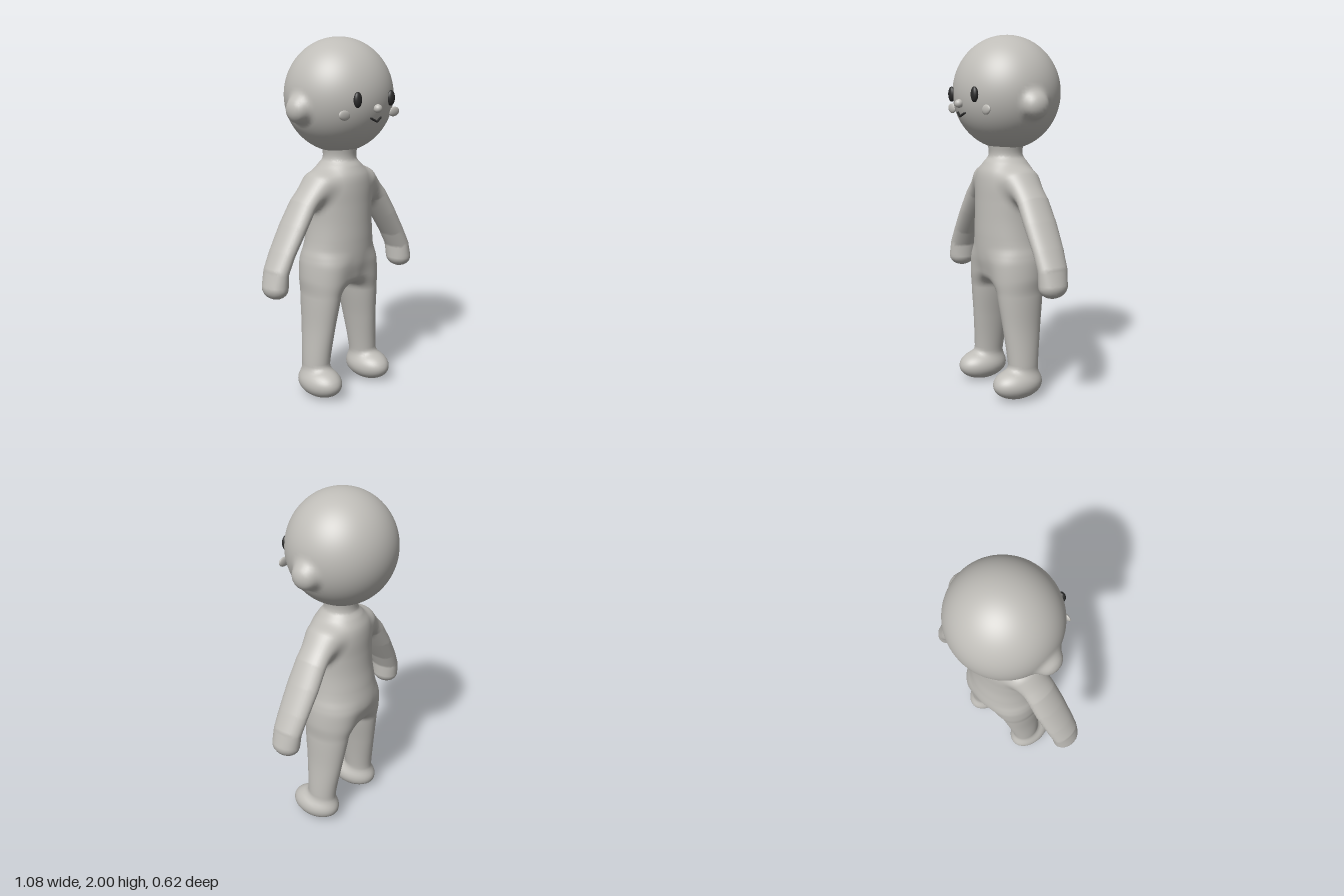
import * as THREE from 'three';

const skin = new THREE.MeshStandardMaterial({ color: 0xbfbdb8 });
skin.name = 'skin grey';
const dark = new THREE.MeshStandardMaterial({ color: 0x2b2b2b });
dark.name = 'feature black';

// Soft union and soft cut of two distances
const blend = (a, b, k) => {
  const h = Math.max(k - Math.abs(a - b), 0);
  return Math.min(a, b) - (h * h) / (4 * k);
};
const cut = (a, b, k) => -blend(-a, -b, k);

const ellipsoid = (x, y, z, c, r) =>
  (Math.hypot((x - c[0]) / r[0], (y - c[1]) / r[1], (z - c[2]) / r[2]) - 1) * Math.min(...r);

// Smooth interpolation of rows [y, ...values] at height y
function sample(rows, y) {
  const last = rows.length - 1;
  const t = Math.min(Math.max(y, rows[0][0]), rows[last][0]);
  let i = 0;
  while (i < last - 1 && t > rows[i + 1][0]) i++;
  const a = rows[i], b = rows[i + 1], d = b[0] - a[0], s = (t - a[0]) / d;
  const slope = (n, k) => {
    const p = rows[Math.max(n - 1, 0)], q = rows[Math.min(n + 1, last)];
    return ((q[k] - p[k]) / (q[0] - p[0])) * d;
  };
  return a.slice(1).map((v, j) => {
    const k = j + 1, e = b[k] - v, m = slope(i, k), n = slope(i + 1, k);
    return v + s * m + s * s * (3 * e - 2 * m - n) + s * s * s * (m + n - 2 * e);
  });
}

// Column of oval cross-sections [y, centre x, half width, front z, back z]
function column(rows, x, y, z) {
  const [cx, rx, zf, zb] = sample(rows, y);
  const rz = (zf - zb) / 2;
  return (Math.hypot((x - cx) / rx, (z - (zf + zb) / 2) / rz) - 1) * Math.min(rx, rz);
}

const TORSO = [
  [0.6, 0, 0.205, 0.12, -0.155], [0.7, 0, 0.222, 0.138, -0.185], [0.78, 0, 0.225, 0.153, -0.207],
  [0.9, 0, 0.205, 0.157, -0.192], [1.0, 0, 0.195, 0.155, -0.177], [1.1, 0, 0.196, 0.152, -0.17],
  [1.2, 0, 0.2, 0.148, -0.167], [1.26, 0, 0.178, 0.138, -0.157], [1.31, 0, 0.125, 0.112, -0.132],
  [1.35, 0, 0.092, 0.085, -0.107], [1.43, 0, 0.1, 0.095, -0.115],
];
const LEG = [
  [0.1, 0.187, 0.07, 0.08, -0.095], [0.2, 0.183, 0.073, 0.08, -0.1], [0.4, 0.16, 0.08, 0.1, -0.13],
  [0.6, 0.138, 0.096, 0.123, -0.158], [0.7, 0.13, 0.092, 0.123, -0.163], [0.8, 0.12, 0.08, 0.11, -0.14],
];
// Arm stations: x, y, half width, half depth, centre z
const ARM = [
  [0.17, 1.22, 0.055, 0.09, -0.012], [0.27, 1.11, 0.055, 0.095, -0.013], [0.34, 1.0, 0.054, 0.098, -0.012],
  [0.42, 0.87, 0.05, 0.092, -0.008], [0.465, 0.78, 0.053, 0.087, -0.003], [0.477, 0.7, 0.064, 0.083, 0.002],
];

function arm(x, y, z) {
  let best = Infinity;
  for (let i = 0; i < ARM.length - 1; i++) {
    const a = ARM[i], b = ARM[i + 1], dx = b[0] - a[0], dy = b[1] - a[1];
    const t = Math.min(Math.max(((x - a[0]) * dx + (y - a[1]) * dy) / (dx * dx + dy * dy), 0), 1);
    const [px, py, w, h, cz] = a.map((v, k) => v + (b[k] - v) * t);
    best = Math.min(best, (Math.hypot(x - px, y - py) / w < 1e-6 && z === cz ? -w
      : (Math.hypot(Math.hypot(x - px, y - py) / w, (z - cz) / h) - 1) * w));
  }
  return best;
}

// Torso, arms, legs and feet melted into one soft form, mirrored across x
function bodyField(sx, y, z) {
  const x = Math.abs(sx);
  const torso = cut(cut(column(TORSO, x, y, z), 0.64 - y, 0.06), y - 1.43, 0.01);
  const leg = cut(cut(column(LEG, x, y, z), y - 0.8, 0.06), 0.06 - y, 0.02);
  const foot = ellipsoid(x, y, z, [0.19, 0.086, 0.03], [0.103, 0.086, 0.15]);
  return blend(blend(torso, blend(leg, foot, 0.025), 0.06), arm(x, y, z), 0.06);
}

// Round head with softly joined ears
function headField(sx, y, z) {
  const x = Math.abs(sx);
  const skull = ellipsoid(x, y, z, [0, 1.69, -0.017], [0.302, 0.31, 0.295]);
  return blend(skull, ellipsoid(x, y, z, [0.298, 1.625, -0.01], [0.054, 0.07, 0.072]), 0.035);
}

// Meshes the zero surface of a field inside a box
function softGeometry(field, min, max, step) {
  const n = min.map((v, i) => Math.ceil((max[i] - v) / step) + 1);
  const stride = [1, n[0], n[0] * n[1]];
  const values = new Float32Array(n[0] * n[1] * n[2]);
  const each = (fn) => {
    for (let k = 0; k < n[2]; k++) for (let j = 0; j < n[1]; j++) for (let i = 0; i < n[0]; i++)
      fn([i, j, k], i + j * stride[1] + k * stride[2]);
  };
  each((c, id) => { values[id] = field(...c.map((v, i) => min[i] + v * step)); });

  const gradient = (p) => [0, 1, 2].map((i) => {
    const a = [...p], b = [...p];
    a[i] -= 0.002;
    b[i] += 0.002;
    return (field(...b) - field(...a)) / 0.004;
  });
  const positions = [], normals = [], index = [], vertexOf = new Map();

  // One vertex per crossed cell, pulled onto the surface
  each((c, id) => {
    if (c.some((v, i) => v >= n[i] - 1)) return;
    const corner = (m) => values[id + (m & 1) + ((m >> 1) & 1) * stride[1] + (m >> 2) * stride[2]];
    const sum = [0, 0, 0];
    let count = 0;
    for (let m = 0; m < 8; m++) for (let a = 0; a < 3; a++) {
      if (m & (1 << a)) continue;
      const u = corner(m), v = corner(m | (1 << a));
      if ((u < 0) === (v < 0)) continue;
      for (let i = 0; i < 3; i++) sum[i] += i === a ? u / (u - v) : (m >> i) & 1;
      count++;
    }
    if (!count) return;
    const p = c.map((v, i) => min[i] + (v + sum[i] / count) * step);
    const g = gradient(p), len2 = Math.max(g[0] ** 2 + g[1] ** 2 + g[2] ** 2, 0.1);
    const move = Math.max(-step / 2, Math.min(step / 2, field(...p) / len2));
    const q = p.map((v, i) => v - g[i] * move);
    const normal = new THREE.Vector3(...gradient(q)).normalize();
    vertexOf.set(id, positions.length / 3);
    positions.push(...q);
    normals.push(normal.x, normal.y, normal.z);
  });

  // One quad around each crossed grid edge
  each((c, id) => {
    for (let a = 0; a < 3; a++) {
      if (c[a] >= n[a] - 1) continue;
      const inside = values[id] < 0;
      if (inside === values[id + stride[a]] < 0) continue;
      const u = stride[(a + 1) % 3], v = stride[(a + 2) % 3];
      const quad = [id - u - v, id - v, id, id - u].map((k) => vertexOf.get(k));
      if (quad.includes(undefined)) continue;
      if (!inside) quad.reverse();
      index.push(quad[0], quad[1], quad[2], quad[0], quad[2], quad[3]);
    }
  });
  const geometry = new THREE.BufferGeometry();
  geometry.setAttribute('position', new THREE.Float32BufferAttribute(positions, 3));
  geometry.setAttribute('normal', new THREE.Float32BufferAttribute(normals, 3));
  geometry.setIndex(index);
  return geometry;
}

export function createModel() {
  const model = new THREE.Group();
  model.name = 'figure';
  const add = (name, geometry, material, position = [0, 0, 0], scale = [1, 1, 1]) => {
    const mesh = new THREE.Mesh(geometry, material);
    mesh.name = name;
    mesh.position.set(...position);
    mesh.scale.set(...scale);
    model.add(mesh);
    return mesh;
  };

  add('body', softGeometry(bodyField, [-0.6, -0.05, -0.27], [0.6, 1.5, 0.25], 0.016), skin);
  add('head', softGeometry(headField, [-0.4, 1.34, -0.36], [0.4, 2.04, 0.33], 0.018), skin);

  // Face
  const ball = new THREE.SphereGeometry(1, 24, 16);
  add('nose', ball, skin, [0, 1.633, 0.283], [0.023, 0.023, 0.024]);
  for (const [side, s] of [['left', 1], ['right', -1]]) {
    add(side + 'Eye', ball, dark, [s * 0.122, 1.682, 0.259], [0.025, 0.041, 0.018]);
    add(side + 'Cheek', ball, skin, [s * 0.183, 1.604, 0.225], [0.039, 0.026, 0.011]).rotation.z = s * 0.12;
    const mouth = add(side + 'Mouth', new THREE.CapsuleGeometry(0.006, 0.04, 4, 8), dark, [s * 0.0185, 1.575, 0.273]);
    mouth.quaternion.setFromUnitVectors(new THREE.Vector3(0, 1, 0),
      new THREE.Vector3(s * 0.037, 0.02, -0.01).normalize());
  }
  return model;
}
